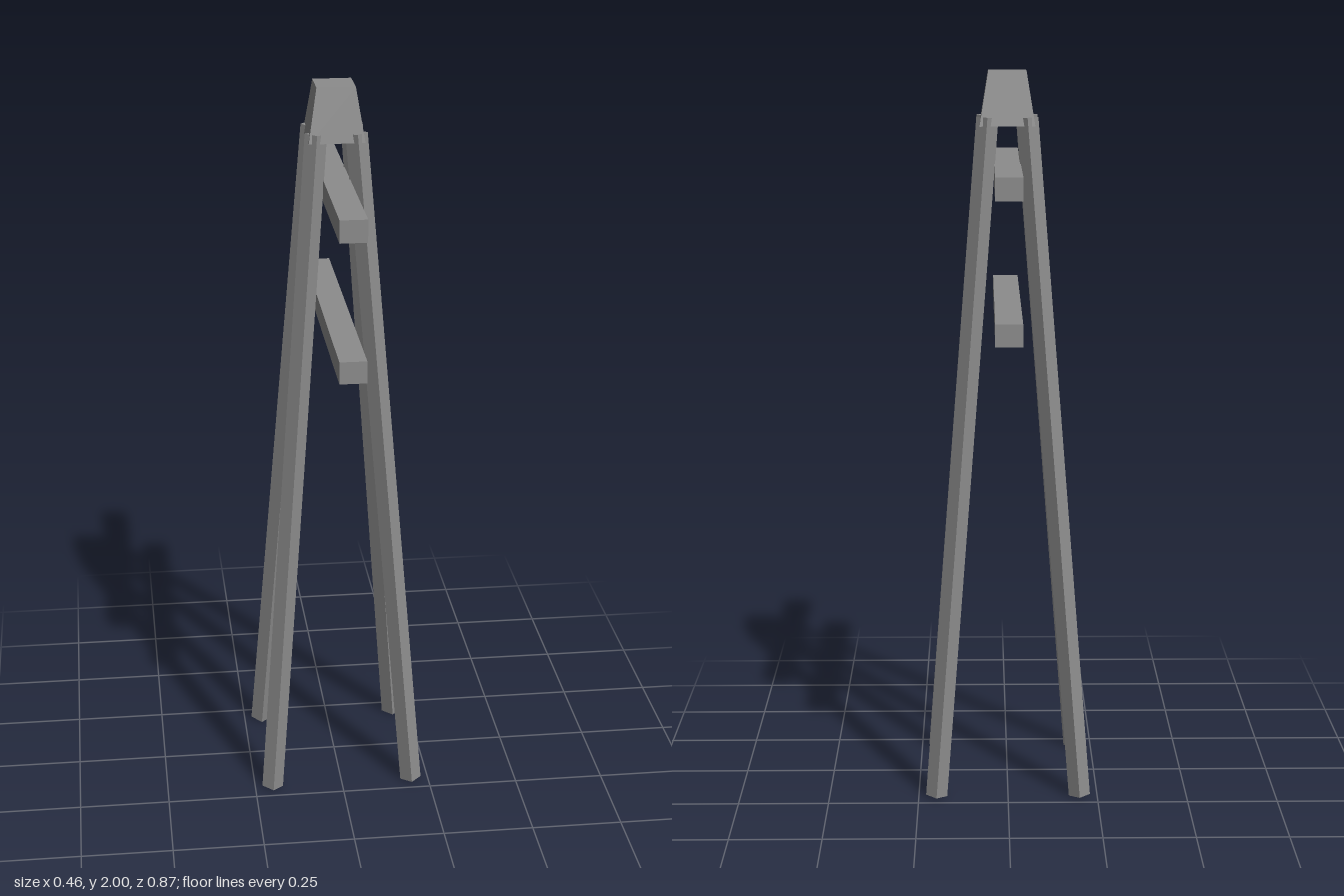
import * as THREE from 'three';

export function createModel() {
  const group = new THREE.Group();
  const grey = new THREE.MeshStandardMaterial({ color: 0x8c8c8c });
  grey.name = 'grey';
  const add = (geometry, name) => {
    const mesh = new THREE.Mesh(geometry, grey);
    mesh.name = name;
    group.add(mesh);
    return mesh;
  };

  // Tapered square cap: a box whose upper corners are drawn in
  const cap = new THREE.BoxGeometry(0.15, 0.145, 0.15);
  const p = cap.attributes.position;
  for (let i = 0; i < p.count; i++) {
    if (p.getY(i) > 0) p.setXYZ(i, p.getX(i) * 0.69, p.getY(i), p.getZ(i) * 0.69);
  }
  cap.computeVertexNormals();
  add(cap, 'cap').position.y = 1.9275;

  // Four square legs leaning in along the diagonals
  const foot = new THREE.Vector2(0.283, 0.0025);
  const head = new THREE.Vector2(0.076, 1.877);
  const length = foot.distanceTo(head);
  const lean = Math.atan2(foot.x - head.x, head.y - foot.y);
  for (let i = 0; i < 4; i++) {
    const leg = new THREE.BoxGeometry(0.042, length, 0.042);
    leg.rotateZ(lean);
    leg.translate((foot.x + head.x) / 2, (foot.y + head.y) / 2, 0);
    leg.rotateY(Math.PI / 4 + i * Math.PI / 2);
    add(leg, 'leg' + (i + 1));
  }

  // Two crossbars running front to back
  for (const [name, y] of [['lowerCrossbar', 1.35], ['upperCrossbar', 1.725]]) {
    add(new THREE.BoxGeometry(0.072, 0.06, 0.872), name).position.y = y;
  }
  return group;
}
